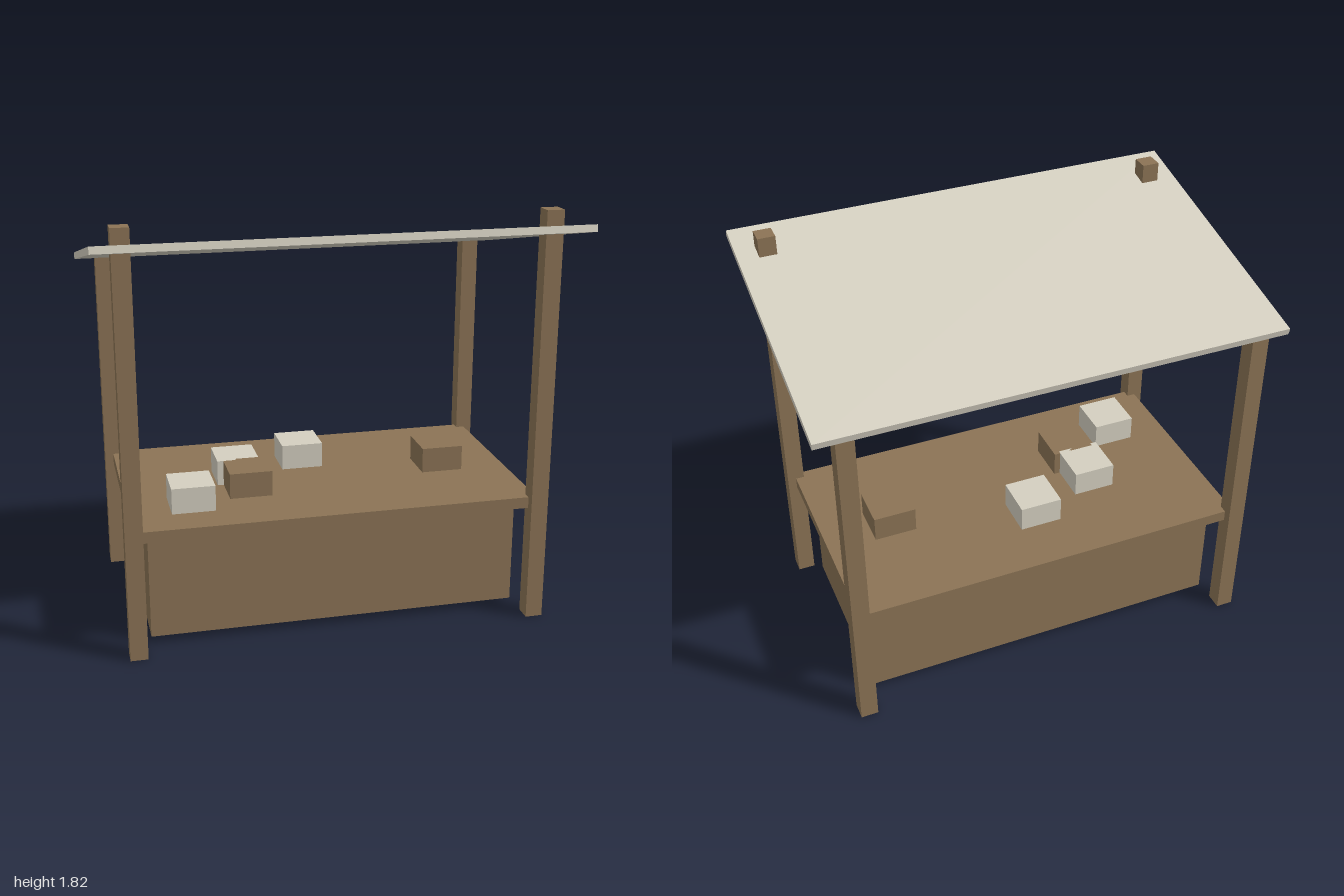
import * as THREE from 'three';

export function createModel() {
  const group = new THREE.Group();
  group.name = 'marketStall';

  const wood = new THREE.MeshStandardMaterial({ color: 0x8b7355 });
  wood.name = 'wood';
  const cream = new THREE.MeshStandardMaterial({ color: 0xd4cfc0 });
  cream.name = 'cream';

  // Box standing on height y, centred on x and z
  function addBox(name, material, [w, h, d], [x, y, z]) {
    const mesh = new THREE.Mesh(new THREE.BoxGeometry(w, h, d), material);
    mesh.name = name;
    mesh.position.set(x, y + h / 2, z);
    group.add(mesh);
    return mesh;
  }

  // Posts: tall in front, short at the back
  for (const [side, x] of [['Left', 0.875], ['Right', -0.875]]) {
    addBox('frontPost' + side, wood, [0.075, 1.815, 0.075], [x, 0, 0.44]);
    addBox('backPost' + side, wood, [0.075, 1.505, 0.075], [x, 0, -0.56]);
  }

  // Counter: closed body and a top reaching the post centres
  addBox('counterBody', wood, [1.62, 0.475, 0.81], [0, 0.033, -0.06]);
  addBox('counterTop', wood, [1.75, 0.05, 1.0], [0, 0.508, -0.06]);

  // Roof sloping down towards the back
  const roof = addBox('roof', cream, [2, 0.03, 1.238], [0, 1.615, 0]);
  roof.rotation.x = -0.21;

  // Goods on the counter
  const goods = [
    [-0.602, 0.185, cream],
    [-0.362, -0.102, cream],
    [-0.335, 0.07, wood],
    [-0.042, -0.23, cream],
    [0.572, -0.047, wood],
  ];
  goods.forEach(([x, z, material], i) =>
    addBox('goodsBox' + (i + 1), material, [0.187, 0.113, 0.187], [x, 0.558, z]));

  return group;
}
